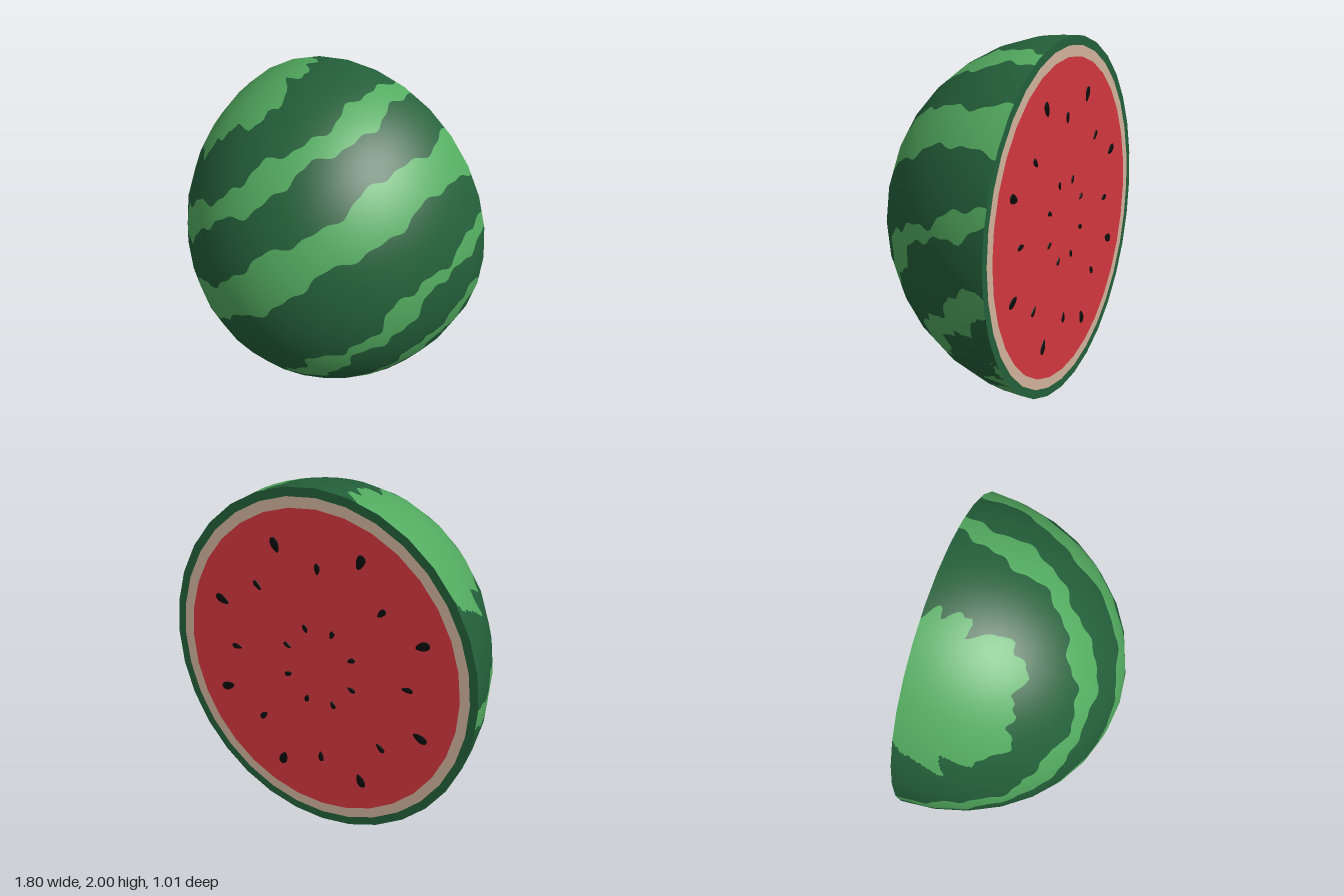
import * as THREE from 'three';

const lightRind = new THREE.MeshStandardMaterial({ color: 0x53ab60 });
lightRind.name = 'light green rind';
const darkRind = new THREE.MeshStandardMaterial({ color: 0x24603a });
darkRind.name = 'dark green rind';
const pale = new THREE.MeshStandardMaterial({ color: 0xd2b49c });
pale.name = 'pale pith';
const red = new THREE.MeshStandardMaterial({ color: 0xd4373f });
red.name = 'red flesh';
const black = new THREE.MeshStandardMaterial({ color: 0x0b0b0b });
black.name = 'black seed';

const WIDTH = 0.9, CUT = -0.5, SEG = 16, SUB = 8;

// Dark bands across the tilted axis: lower and upper limits
const STRIPES = [[0.57, 0.79], [0.18, 0.44], [-0.34, -0.06], [-0.65, -0.42], [-0.92, -0.76]];

const wave = (t, k) =>
  0.022 * Math.sin(9 * t + k) + 0.014 * Math.sin(21 * t + 2.3 * k) + 0.008 * Math.sin(43 * t + 4.1 * k);

// Positive inside a dark stripe, negative between stripes
function stripeField(p) {
  const y = p.y - 1, w = p.z - CUT;
  const v = 0.77 * y - 0.64 * p.x;
  const t = Math.atan2(0.77 * p.x + 0.64 * y, w + 0.1);
  const f = v + 0.3 * w * THREE.MathUtils.clamp((-v - 0.17) / 0.5, 0, 1);
  return Math.max(...STRIPES.map(([lo, hi], i) => {
    const top = i === 0 ? hi + 0.11 * Math.max(0, 1 - 2.5 * w) : hi;
    return Math.min(f - lo + wave(t, i * 2 + 1), top - f + wave(t, i * 2 + 6.5));
  }));
}

// Corner of the coarse half ellipsoid
function corner(i, j) {
  const a = (i / SEG) * Math.PI, b = (j / SEG) * Math.PI;
  return new THREE.Vector3(
    WIDTH * Math.sin(b) * Math.cos(a), 1 + Math.cos(b), CUT + Math.sin(b) * Math.sin(a));
}

// Point on the coarse facets, at a finer step
function facetPoint(i, j) {
  const ci = Math.min(Math.floor(i / SUB), SEG - 1), cj = Math.min(Math.floor(j / SUB), SEG - 1);
  const s = i / SUB - ci, t = j / SUB - cj;
  const upper = corner(ci, cj).lerp(corner(ci + 1, cj), s);
  const lower = corner(ci, cj + 1).lerp(corner(ci + 1, cj + 1), s);
  return upper.lerp(lower, t);
}

// Keep the part of a triangle where sign * field is positive
function clip(tri, sign) {
  const out = [];
  tri.forEach((a, k) => {
    const b = tri[(k + 1) % 3];
    if (a.f * sign >= 0) out.push(a.p);
    if (a.f * b.f < 0) out.push(a.p.clone().lerp(b.p, a.f / (a.f - b.f)));
  });
  return out;
}

function skinGeometry(points) {
  const pos = [], nor = [];
  const n = new THREE.Vector3();
  for (const p of points) {
    n.set(p.x / WIDTH ** 2, p.y - 1, p.z - CUT).normalize();
    pos.push(p.x, p.y, p.z);
    nor.push(n.x, n.y, n.z);
  }
  const g = new THREE.BufferGeometry();
  g.setAttribute('position', new THREE.Float32BufferAttribute(pos, 3));
  g.setAttribute('normal', new THREE.Float32BufferAttribute(nor, 3));
  return g;
}

function add(group, name, geometry, material) {
  const mesh = new THREE.Mesh(geometry, material);
  mesh.name = name;
  group.add(mesh);
  return mesh;
}

// Rounded skin, divided along the stripe edges
function buildSkin(group) {
  const N = SEG * SUB, grid = [];
  for (let i = 0; i <= N; i++) {
    grid.push([]);
    for (let j = 0; j <= N; j++) {
      const p = facetPoint(i, j);
      grid[i].push({ p, f: stripeField(p) });
    }
  }
  const dark = [], light = [];
  const fan = (poly, list) => {
    for (let k = 1; k + 1 < poly.length; k++) list.push(poly[0], poly[k], poly[k + 1]);
  };
  for (let i = 0; i < N; i++) {
    for (let j = 0; j < N; j++) {
      const a = grid[i][j], b = grid[i + 1][j], c = grid[i][j + 1], d = grid[i + 1][j + 1];
      for (const tri of [[a, b, d], [a, d, c]]) {
        fan(clip(tri, 1), dark);
        fan(clip(tri, -1), light);
      }
    }
  }
  add(group, 'skinStripes', skinGeometry(dark), darkRind);
  add(group, 'skinBase', skinGeometry(light), lightRind);
}

// Flat cut face: rim, pith ring and flesh
function buildCutFace(group) {
  const layers = [
    ['cutRim', new THREE.RingGeometry(0.95, 1, 32), darkRind],
    ['pithRing', new THREE.RingGeometry(0.89, 0.95, 32), pale],
    ['flesh', new THREE.CircleGeometry(0.89, 32), red],
  ];
  for (const [name, geometry, material] of layers) {
    geometry.rotateY(Math.PI).scale(WIDTH, 1, 1).translate(0, 1, CUT);
    add(group, name, geometry, material);
  }
}

// Three rings of eight seeds, pointing at the centre
function buildSeeds(group) {
  const seeds = new THREE.Group();
  seeds.name = 'seeds';
  const seed = new THREE.SphereGeometry(1, 12, 8);
  const q = seed.attributes.position;
  for (let i = 0; i < q.count; i++) q.setX(i, q.getX(i) * (1 + 0.3 * q.getY(i)));
  seed.computeVertexNormals();
  const rings = [[0.23, 0.5, 0.024, 0.014], [0.57, 0, 0.032, 0.016], [0.71, 0.5, 0.043, 0.024]];
  for (const [radius, offset, length, width] of rings) {
    for (let k = 0; k < 8; k++) {
      const a = ((k + offset) * Math.PI) / 4;
      const x = WIDTH * radius * Math.cos(a), y = radius * Math.sin(a);
      const mesh = add(seeds, 'seed', seed, black);
      mesh.position.set(x, 1 + y, CUT);
      mesh.rotation.z = Math.atan2(y, x) - Math.PI / 2;
      mesh.scale.set(width, length, 0.006);
    }
  }
  group.add(seeds);
}

export function createModel() {
  const group = new THREE.Group();
  group.name = 'halfWatermelon';
  buildSkin(group);
  buildCutFace(group);
  buildSeeds(group);
  return group;
}
